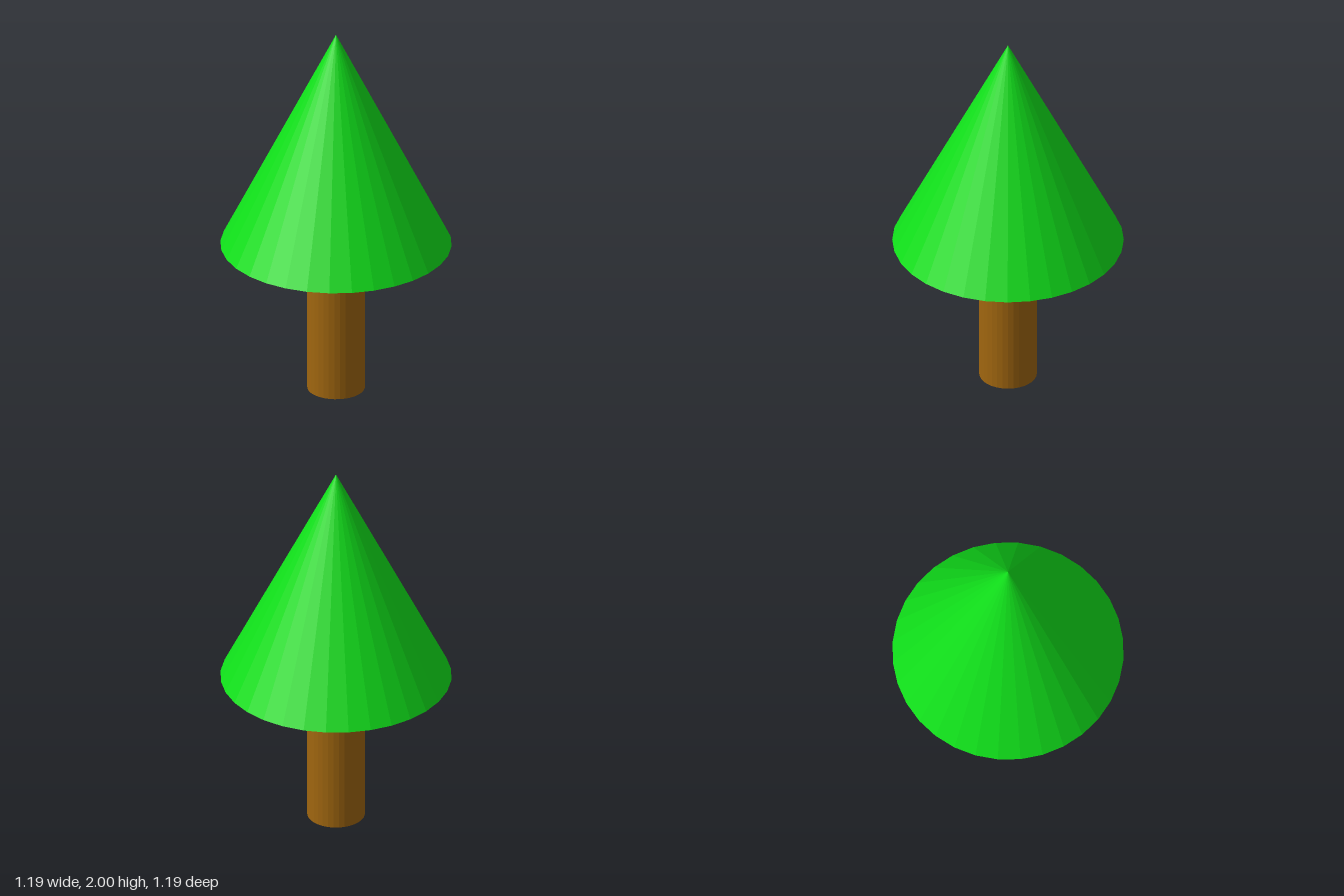
import * as THREE from 'three';

const SIDES = 32;

function addPart(group, name, geometry, color, y) {
  const material = new THREE.MeshStandardMaterial({ color, flatShading: true });
  const mesh = new THREE.Mesh(geometry, material);
  mesh.name = name;
  mesh.position.y = y;
  group.add(mesh);
}

export function createModel() {
  const tree = new THREE.Group();
  tree.name = 'tree';

  // Trunk: faceted cylinder from the ground to the underside of the foliage
  const trunkHeight = 0.815;
  addPart(tree, 'trunk', new THREE.CylinderGeometry(0.148, 0.148, trunkHeight, SIDES), 0xa0660f, trunkHeight / 2);

  // Foliage: one faceted cone with a closed base
  const coneHeight = 2 - trunkHeight;
  addPart(tree, 'foliage', new THREE.ConeGeometry(0.593, coneHeight, SIDES), 0x10e01a, trunkHeight + coneHeight / 2);

  return tree;
}
